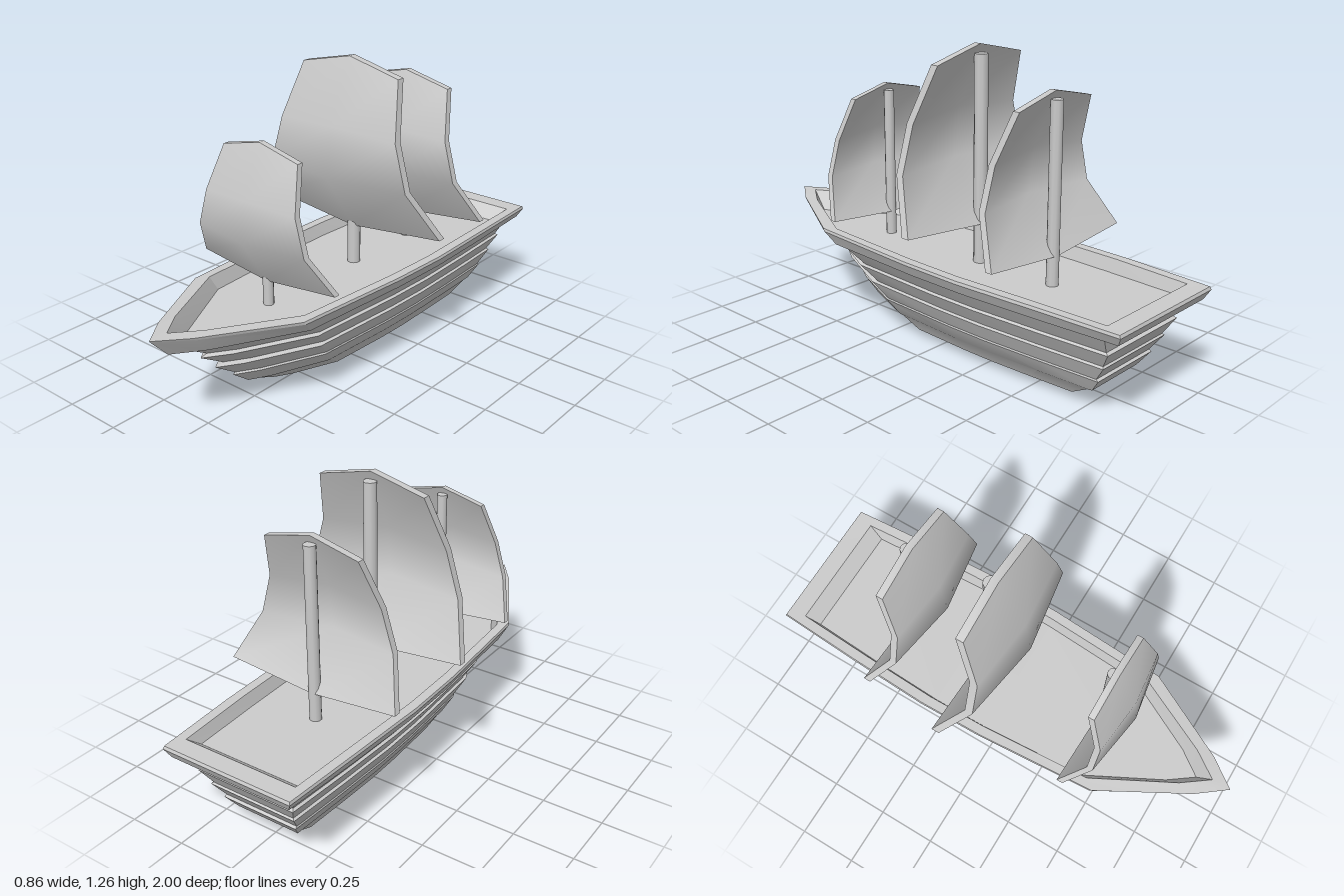
import * as THREE from 'three';
import { toCreasedNormals } from 'three/addons/utils/BufferGeometryUtils.js';

const material = new THREE.MeshStandardMaterial({ color: 0xcccccc });

// Half outline of the hull in plan: [stern-to-bow fraction, share of half-width, sheer lift]
const OUTLINE = [
  [0, 0.89, -0.006], [0.18, 0.955, 0], [0.36, 1, 0], [0.5, 0.985, 0.002],
  [0.76, 0.88, 0.007], [0.94, 0.28, 0.024], [1, 0, 0.03],
];

// Closed horizontal ring: half-width, stern z, bow z, height, amount of sheer
function hullRing([w, stern, bow, y, sheer = 0]) {
  const half = OUTLINE.map(([t, share, lift]) =>
    new THREE.Vector3(w * share, y + lift * sheer, stern + (bow - stern) * t));
  const mirrored = half.slice(0, -1).reverse().map((p) => new THREE.Vector3(-p.x, p.y, p.z));
  return [...half, ...mirrored];
}

// Skin a stack of rings, ordered from the keel up
function loft(specs) {
  const rings = specs.map(hullRing);
  const pos = [];
  for (let i = 0; i < rings.length - 1; i++) {
    const lo = rings[i], hi = rings[i + 1], n = lo.length;
    for (let j = 0; j < n; j++) {
      const k = (j + 1) % n;
      for (const tri of [[lo[j], hi[j], hi[k]], [lo[j], hi[k], lo[k]]]) {
        // skip collapsed triangles on the keel and deck centre lines
        if (new THREE.Triangle(...tri).getArea() < 1e-8) continue;
        for (const p of tri) pos.push(p.x, p.y, p.z);
      }
    }
  }
  const geo = new THREE.BufferGeometry();
  geo.setAttribute('position', new THREE.Float32BufferAttribute(pos, 3));
  return toCreasedNormals(geo, 0.35);
}

function addMesh(parent, geo, name) {
  const mesh = new THREE.Mesh(geo, material);
  mesh.name = name;
  parent.add(mesh);
  return mesh;
}

// Sail rows, top to bottom: edge half-width, centre y, edge y, centre z, edge z (front face)
const SAIL_ROWS = [
  [0.238, 0.72, 0.665, 0.035, 0.035],
  [0.29, 0.46, 0.44, 0.148, 0.115],
  [0.345, 0.25, 0.25, 0.173, 0.118],
  [0.432, 0, 0.045, 0.012, 0.004],
];

// Billowed slab made by bending a subdivided box
function sailGeometry() {
  const geo = new THREE.BoxGeometry(2, 3, 1, 2, 3, 1);
  const p = geo.attributes.position;
  for (let i = 0; i < p.count; i++) {
    const [w, yMid, yEdge, zMid, zEdge] = SAIL_ROWS[Math.round(1.5 - p.getY(i))];
    const x = p.getX(i), edge = Math.abs(x) > 0.5;
    const back = p.getZ(i) < 0 ? 0.033 : 0;
    p.setXYZ(i, x * w, edge ? yEdge : yMid, (edge ? zEdge : zMid) - back);
  }
  geo.computeVertexNormals();
  return geo;
}

export function createModel() {
  const ship = new THREE.Group();
  ship.name = 'sailingShip';

  // Hull: keel, overlapping planks, rail, bulwark and deck
  addMesh(ship, loft([
    [0, -0.65, 0.12, 0.004],
    [0.13, -0.68, 0.38, 0.035],
    [0.155, -0.765, 0.5, 0.085],
    // four planks, each with a lip over the one below
    [0.16, -0.79, 0.53, 0.09],
    [0.192, -0.835, 0.61, 0.15],
    [0.19, -0.825, 0.6, 0.157],
    [0.222, -0.872, 0.7, 0.222],
    [0.212, -0.865, 0.66, 0.228],
    [0.25, -0.905, 0.77, 0.293],
    [0.24, -0.893, 0.74, 0.3],
    [0.285, -0.91, 0.86, 0.37],
    // rail, bulwark and deck
    [0.305, -0.98, 0.92, 0.374],
    [0.328, -1, 0.99, 0.418, 1],
    [0.325, -0.995, 1, 0.43, 1],
    [0.285, -0.92, 0.92, 0.43, 1],
    [0.27, -0.86, 0.86, 0.375],
    [0, -0.86, 0.86, 0.375],
  ]), 'hull');

  // Masts with sails: mast z, sail foot y, scale
  const rigs = [
    ['fore', 0.405, 0.475, 0.78],
    ['main', -0.115, 0.54, 1],
    ['aft', -0.485, 0.495, 0.885],
  ];
  const sail = sailGeometry();
  for (const [name, z, foot, s] of rigs) {
    const rig = new THREE.Group();
    rig.name = name + 'Rig';
    rig.position.z = z;
    const top = foot + 0.683 * s, bottom = 0.37;
    const pole = new THREE.CylinderGeometry(0.028 * s, 0.028 * s, top - bottom, 10);
    addMesh(rig, pole, name + 'Mast').position.y = (top + bottom) / 2;
    const cloth = addMesh(rig, sail, name + 'Sail');
    cloth.position.y = foot;
    cloth.scale.setScalar(s);
    ship.add(rig);
  }
  return ship;
}
